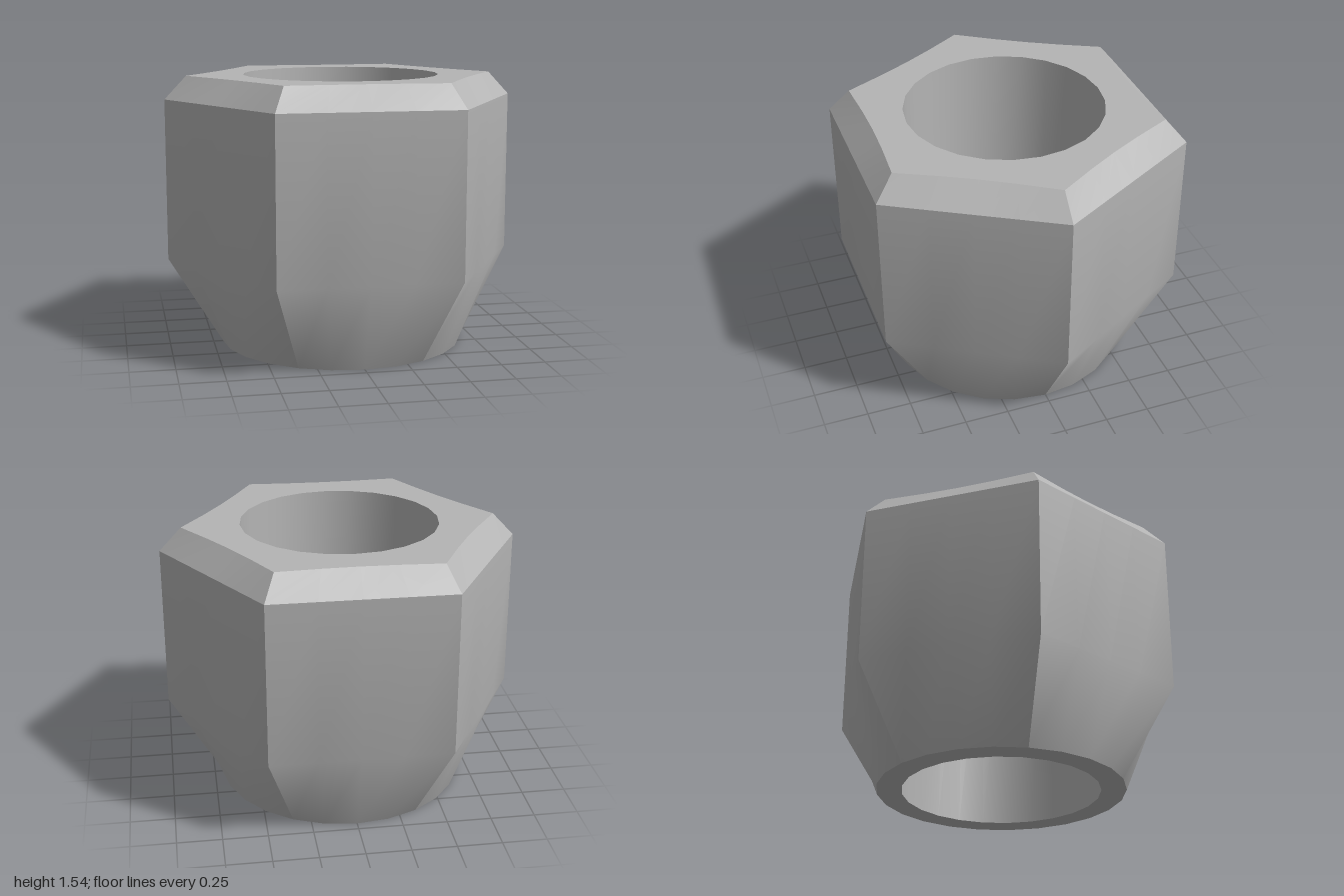
import * as THREE from 'three';
import { mergeVertices } from 'three/addons/utils/BufferGeometryUtils.js';

const SEG = 24, PER_SIDE = SEG / 6;
const TOP = 1.54, CHAMFER_Y = 1.41, TAPER_Y = 0.5;
const APOTHEM = Math.sqrt(3) / 2;

// Point i of 24 around a circle
const circle = (r, y) => (i) => {
  const a = (i / SEG) * Math.PI * 2;
  return [r * Math.cos(a), y, -r * Math.sin(a)];
};

// Point i of 24 around a hexagon; bow pulls the middle of each side inwards
const hexagon = (apothem, y, bow = 0) => (i) => {
  const a = (i / SEG) * Math.PI * 2;
  const off = ((i % PER_SIDE) / PER_SIDE - 0.5) * (Math.PI / 3);
  const dip = bow * (1 - (off / (Math.PI / 6)) ** 2);
  const r = (apothem - dip) / Math.cos(off);
  return [r * Math.cos(a), y, -r * Math.sin(a)];
};

// Smooth strip through several rings, from point start over count segments
function strip(rings, start = 0, count = SEG) {
  const pos = [], index = [], w = count + 1;
  rings.forEach((ring) => {
    for (let i = 0; i <= count; i++) pos.push(...ring((start + i) % SEG));
  });
  for (let r = 0; r < rings.length - 1; r++) {
    for (let i = 0; i < count; i++) {
      const a = r * w + i, b = a + 1, c = a + w, d = c + 1;
      index.push(a, b, d, a, d, c);
    }
  }
  let geo = new THREE.BufferGeometry();
  geo.setAttribute('position', new THREE.Float32BufferAttribute(pos, 3));
  geo.setIndex(index);
  geo = mergeVertices(geo, 1e-5);
  geo.computeVertexNormals();
  return geo;
}

export function createModel() {
  const group = new THREE.Group();
  group.name = 'hexNut';
  const metal = new THREE.MeshStandardMaterial({ color: 0xb4b4b4 });
  metal.name = 'grey metal';
  const add = (name, geo) => {
    const mesh = new THREE.Mesh(geo, metal);
    mesh.name = name;
    group.add(mesh);
  };

  const bottomRim = circle(0.695, 0);
  const topRim = hexagon(0.76, TOP, 0.018);
  const boreTop = circle(0.555, TOP), boreBottom = circle(0.555, 0);
  const shoulder = hexagon(APOTHEM, CHAMFER_Y);

  // Six sides, each blending from the round foot to the flat hexagon
  for (let s = 0; s < 6; s++) {
    const start = s * PER_SIDE;
    add(`side${s + 1}`, strip([bottomRim, hexagon(APOTHEM, TAPER_Y), shoulder], start, PER_SIDE));
    add(`chamfer${s + 1}`, strip([shoulder, topRim], start, PER_SIDE));
  }

  // Flat end faces and the through hole
  add('topFace', strip([topRim, boreTop]));
  add('bottomFace', strip([boreBottom, bottomRim]));
  add('bore', strip([boreTop, boreBottom]));
  return group;
}
